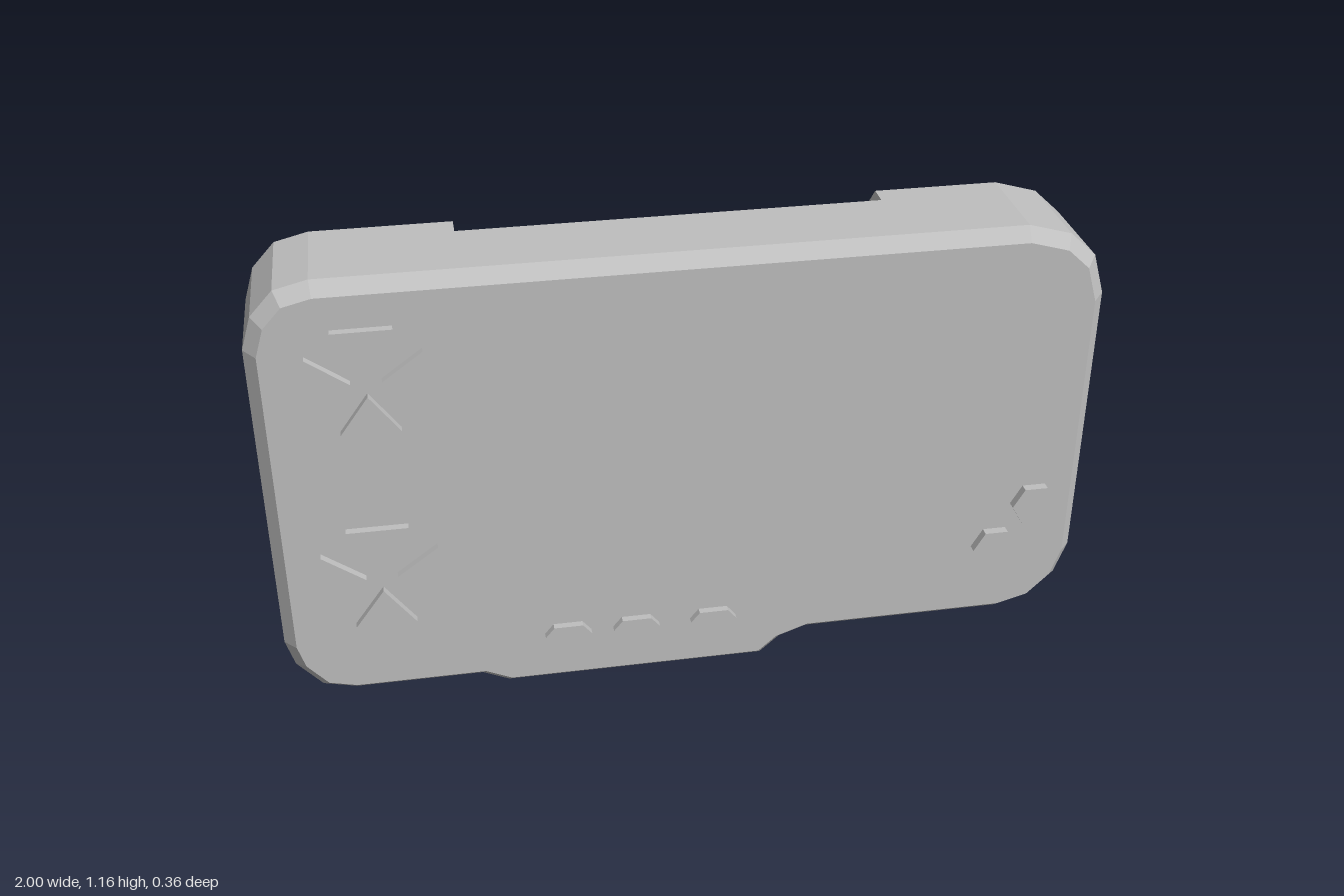
import * as THREE from 'three';

const casing = new THREE.MeshStandardMaterial({ color: 0xbebebe });
casing.name = 'grey casing';

// Case outline, counter-clockwise, starting and ending at the rear notch corners
const NOTCH = { left: -0.51, right: 0.5, bottom: 0.5, z: -0.07 };
const OUTLINE = [
  [NOTCH.left, 1.16], [-0.84, 1.16], [-0.92, 1.14], [-0.975, 1.08], [-1, 1],
  [-1, 0.19], [-0.98, 0.12], [-0.92, 0.05], [-0.84, 0.03], [-0.525, 0.03],
  [-0.46, 0], [0.19, 0], [0.24, 0.045], [0.31, 0.07], [0.815, 0.07],
  [0.905, 0.095], [0.97, 0.16], [1, 0.245], [1, 0.97], [0.97, 1.07],
  [0.905, 1.13], [0.8, 1.16], [NOTCH.right, 1.16],
].map(([x, y]) => new THREE.Vector2(x, y));

// Moves every edge of a closed outline inward by d
function inset(points, d) {
  const n = points.length;
  const normal = (a, b) => new THREE.Vector2(a.y - b.y, b.x - a.x).normalize();
  return points.map((p, i) => {
    const n1 = normal(points[(i + n - 1) % n], p);
    const n2 = normal(p, points[(i + 1) % n]);
    return n1.clone().add(n2).multiplyScalar(d / (1 + n1.dot(n2))).add(p);
  });
}

function caseGeometry() {
  const out = [];
  const fan = (pts) => {
    for (let i = 1; i < pts.length - 1; i++) out.push(...pts[0], ...pts[i], ...pts[i + 1]);
  };
  const cap = (pts, z, back) => {
    for (const f of THREE.ShapeUtils.triangulateShape(pts, [])) {
      const tri = f.map((i) => [pts[i].x, pts[i].y, z]);
      fan(back ? tri.reverse() : tri);
    }
  };
  // Rings from front to back; the last two bands leave the notch open
  const rings = [[0.03, 0.16], [0, 0.125], [0, NOTCH.z], [0, -0.125], [0.045, -0.17]]
    .map(([d, z]) => ({ z, pts: inset(OUTLINE, d) }));
  const n = OUTLINE.length;
  for (let r = 0; r < rings.length - 1; r++) {
    const a = rings[r], b = rings[r + 1];
    const count = r < 2 ? n : n - 1;
    for (let i = 0; i < count; i++) {
      const j = (i + 1) % n;
      fan([
        [a.pts[i].x, a.pts[i].y, a.z], [b.pts[i].x, b.pts[i].y, b.z],
        [b.pts[j].x, b.pts[j].y, b.z], [a.pts[j].x, a.pts[j].y, a.z],
      ]);
    }
  }
  // Front face and notched back face
  const { left, right, bottom, z } = NOTCH;
  cap(rings[0].pts, 0.16, false);
  cap([...rings[4].pts, new THREE.Vector2(right, bottom), new THREE.Vector2(left, bottom)], -0.17, true);
  // Notch side walls, ledge and inner face
  const wall = (x) => [[bottom, z], [1.16, z], [1.16, -0.125], [1.115, -0.17], [bottom, -0.17]]
    .map(([y, wz]) => [x, y, wz]);
  fan(wall(right));
  fan(wall(left).reverse());
  fan([[left, bottom, z], [right, bottom, z], [right, bottom, -0.17], [left, bottom, -0.17]]);
  fan([[left, bottom, z], [left, 1.16, z], [right, 1.16, z], [right, bottom, z]]);

  const g = new THREE.BufferGeometry();
  g.setAttribute('position', new THREE.Float32BufferAttribute(out, 3));
  g.computeVertexNormals();
  return g;
}

// Flat prism from a 2D outline, placed at x, y with its back at z
function prism(name, points, depth, x, y, z) {
  const shape = new THREE.Shape(points.map(([px, py]) => new THREE.Vector2(px, py)));
  const mesh = new THREE.Mesh(
    new THREE.ExtrudeGeometry(shape, { depth, bevelEnabled: false }), casing);
  mesh.name = name;
  mesh.position.set(x, y, z);
  return mesh;
}

// Hexagon with points to the left and right
const hexagon = (w, flat, h) => [[w, 0], [flat, h], [-flat, h], [-w, 0], [-flat, -h], [flat, -h]];

// Four triangles pointing at a common centre
function arrowPad(name, x, y, inner, outer, half) {
  const pad = new THREE.Group();
  pad.name = name;
  for (let i = 0; i < 4; i++) {
    const arrow = prism('arrowButton', [[inner, 0], [outer, -half], [outer, half]], 0.025, x, y, 0.155);
    arrow.rotation.z = i * Math.PI / 2;
    pad.add(arrow);
  }
  return pad;
}

export function createModel() {
  const model = new THREE.Group();
  model.name = 'handheldDevice';

  const body = new THREE.Mesh(caseGeometry(), casing);
  body.name = 'case';
  model.add(body);

  // Controls on the front
  model.add(arrowPad('upperArrowPad', -0.738, 0.92, 0.035, 0.13, 0.069));
  model.add(arrowPad('lowerArrowPad', -0.748, 0.388, 0.037, 0.137, 0.073));
  for (const [x, y] of [[0.873, 0.412], [0.781, 0.291]]) {
    model.add(prism('hexButton', hexagon(0.057, 0.029, 0.049), 0.027, x, y, 0.155));
  }
  for (const x of [-0.308, -0.137, 0.058]) {
    model.add(prism('pillButton', hexagon(0.058, 0.036, 0.027), 0.023, x, 0.157, 0.155));
  }

  // Rear cover plate with cut corners
  const w = 0.545, h = 0.171, c = 0.036;
  const plate = [[w, h - c], [w - c, h], [c - w, h], [-w, h - c],
    [-w, c - h], [c - w, -h], [w - c, -h], [w, c - h]];
  model.add(prism('rearCover', plate, 0.013, -0.005, 0.288, -0.178));

  return model;
}
